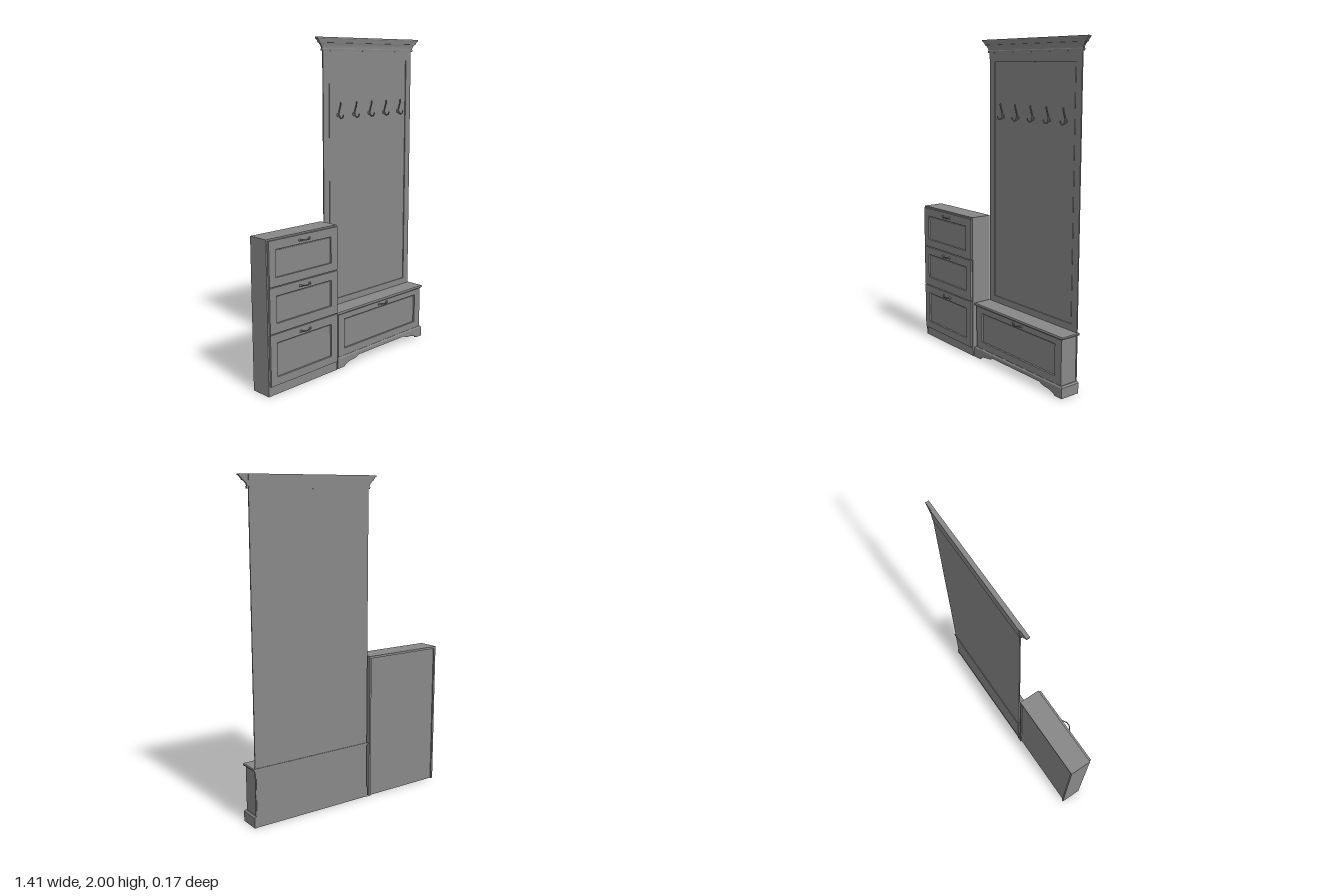
import * as THREE from 'three';

const mat = new THREE.MeshStandardMaterial({ color: 0x888888, side: THREE.DoubleSide });

function add(parent, name, geo) {
  const mesh = new THREE.Mesh(geo, mat);
  mesh.name = name;
  parent.add(mesh);
  return mesh;
}

// Box given by its limits on each axis
function box(parent, name, x0, x1, y0, y1, z0, z1) {
  const m = add(parent, name, new THREE.BoxGeometry(x1 - x0, y1 - y0, z1 - z0));
  m.position.set((x0 + x1) / 2, (y0 + y1) / 2, (z0 + z1) / 2);
}

// Flat outline pushed forward from z0 to z1
function slab(parent, name, shape, z0, z1) {
  const geo = new THREE.ExtrudeGeometry(shape, { depth: z1 - z0, bevelEnabled: false });
  add(parent, name, geo.translate(0, 0, z0));
}

function rectPoints(x0, x1, y0, y1) {
  return [[x0, y0], [x1, y0], [x1, y1], [x0, y1]].map(p => new THREE.Vector2(...p));
}

// Frame around a sunken panel with a narrow groove; outer and inner = [x0, x1, y0, y1]
function framedPanel(parent, name, outer, inner, zBack, zFront, sink) {
  const g = new THREE.Group();
  g.name = name;
  parent.add(g);
  const s = new THREE.Shape(rectPoints(...outer));
  s.holes.push(new THREE.Path(rectPoints(...inner).reverse()));
  slab(g, 'frame', s, zBack, zFront);
  box(g, 'groove', ...inner, zBack, zFront - sink);
  const [x0, x1, y0, y1] = inner;
  const lip = 0.006;
  box(g, 'sunkenPanel', x0 + lip, x1 - lip, y0 + lip, y1 - lip, zBack, zFront - sink * 0.6);
}

// Mitred moulding: rectangular rings [y, sideways, forward] joined upwards, flat back
function moulding(parent, name, x0, x1, zBack, zFront, levels) {
  const pos = [];
  const quad = (a, b, c, d) => pos.push(...a, ...b, ...c, ...a, ...c, ...d);
  const rings = levels.map(([y, sx, sz]) => [
    [x0 - sx, y, zFront + sz], [x1 + sx, y, zFront + sz], [x1 + sx, y, zBack], [x0 - sx, y, zBack],
  ]);
  for (let i = 0; i + 1 < rings.length; i++) {
    for (let k = 0; k < 4; k++) {
      const n = (k + 1) % 4;
      quad(rings[i][k], rings[i][n], rings[i + 1][n], rings[i + 1][k]);
    }
  }
  quad(...rings[0].slice().reverse());
  quad(...rings[rings.length - 1]);
  const geo = new THREE.BufferGeometry();
  geo.setAttribute('position', new THREE.Float32BufferAttribute(pos, 3));
  geo.computeVertexNormals();
  add(parent, name, geo);
}

function tube(parent, name, points, radius) {
  const curve = new THREE.CatmullRomCurve3(points.map(p => new THREE.Vector3(...p)));
  add(parent, name, new THREE.TubeGeometry(curve, 24, radius, 8));
}

// Bow handle with a flat foot at each end
function handle(parent, x, y, z) {
  const g = new THREE.Group();
  g.name = 'handle';
  g.position.set(x, y, z);
  parent.add(g);
  tube(g, 'bow', [[-0.04, 0, 0.004], [-0.028, 0, 0.012], [-0.014, 0, 0.021], [0, 0, 0.023],
    [0.014, 0, 0.021], [0.028, 0, 0.012], [0.04, 0, 0.004]], 0.0034);
  for (const s of [-1, 1]) {
    const foot = add(g, 'foot', new THREE.SphereGeometry(0.009, 12, 8));
    foot.scale.set(1, 0.9, 0.6);
    foot.position.set(s * 0.036, 0, 0.003);
  }
}

function coatHook(parent, x) {
  const g = new THREE.Group();
  g.name = 'coatHook';
  g.position.set(x, 0, 0);
  parent.add(g);
  tube(g, 'hookStem', [[0, 1.62, -0.058], [0, 1.6, -0.06], [0, 1.575, -0.069], [0, 1.55, -0.074],
    [0, 1.531, -0.067], [0, 1.526, -0.053], [0, 1.533, -0.041], [0, 1.547, -0.036]], 0.004);
  const plate = add(g, 'hookPlate', new THREE.CylinderGeometry(0.013, 0.013, 0.005, 16));
  plate.rotation.x = Math.PI / 2;
  plate.position.set(0, 1.545, -0.079);
}

function shoeCabinet() {
  const g = new THREE.Group();
  g.name = 'shoeCabinet';
  const [x0, x1, zb, zf] = [-0.705, -0.165, -0.088, 0.047];
  box(g, 'cabinetSide', x0, x0 + 0.012, 0, 0.9, zb, zf);
  box(g, 'cabinetSide', x1 - 0.012, x1, 0, 0.9, zb, zf);
  box(g, 'cabinetTop', x0, x1, 0.898, 0.912, zb, zf);
  box(g, 'cabinetBody', x0 + 0.012, x1 - 0.012, 0, 0.898, zb + 0.009, zf - 0.003);
  box(g, 'cabinetKickboard', x0 + 0.012, x1 - 0.012, 0, 0.055, zf - 0.01, zf - 0.001);
  // Three tilting fronts: bottom, top, recess bottom, recess top, handle height
  const fronts = [
    [0.06, 0.364, 0.108, 0.312, 0.335],
    [0.369, 0.635, 0.425, 0.585, 0.607],
    [0.64, 0.903, 0.69, 0.85, 0.873],
  ];
  for (const [y0, y1, r0, r1, h] of fronts) {
    framedPanel(g, 'cabinetFront', [x0 + 0.009, x1 - 0.006, y0, y1], [-0.648, -0.222, r0, r1], zf - 0.002, 0.06, 0.012);
    handle(g, -0.435, h, 0.06);
  }
  return g;
}

function bench() {
  const g = new THREE.Group();
  g.name = 'bench';
  const [x0, x1, zb] = [-0.141, 0.645, -0.087];
  box(g, 'benchBody', x0, x1, 0.045, 0.345, zb, 0.021);
  framedPanel(g, 'benchFront', [x0, x1, 0.065, 0.345], [-0.086, 0.59, 0.115, 0.306], 0.02, 0.036, 0.012);
  handle(g, 0.264, 0.326, 0.036);
  // Seat board with an eased edge
  moulding(g, 'seat', x0, x1, -0.088, 0.036, [[0.342, 0.004, 0.001], [0.347, 0.014, 0.006],
    [0.355, 0.016, 0.007], [0.36, 0.012, 0.005]]);
  // Plinth with a shaped cut-out along the front
  const [p0, p1, mid] = [-0.154, 0.66, 0.253];
  const s = new THREE.Shape();
  s.moveTo(p0, 0);
  s.lineTo(mid - 0.35, 0);
  s.quadraticCurveTo(mid - 0.33, 0.022, mid - 0.28, 0.026);
  s.quadraticCurveTo(mid - 0.24, 0.028, mid - 0.22, 0.042);
  s.lineTo(mid + 0.22, 0.042);
  s.quadraticCurveTo(mid + 0.24, 0.028, mid + 0.28, 0.026);
  s.quadraticCurveTo(mid + 0.33, 0.022, mid + 0.35, 0);
  s.lineTo(p1, 0);
  s.lineTo(p1, 0.058);
  s.lineTo(p0, 0.058);
  slab(g, 'plinthFront', s, 0.03, 0.044);
  box(g, 'plinthSide', p0, p0 + 0.014, 0, 0.058, zb, 0.03);
  box(g, 'plinthSide', p1 - 0.014, p1, 0, 0.058, zb, 0.03);
  moulding(g, 'plinthCap', p0, p1, zb, 0.044, [[0.05, 0, 0], [0.062, 0, 0], [0.071, -0.009, -0.006]]);
  return g;
}

function coatPanel() {
  const g = new THREE.Group();
  g.name = 'coatPanel';
  const [x0, x1] = [-0.147, 0.649];
  framedPanel(g, 'backPanel', [x0, x1, 0, 1.99], [-0.1, 0.602, 0.4, 1.866], -0.084, -0.077, 0.006);
  for (let i = 0; i < 5; i++) coatHook(g, -0.02 + i * 0.137);
  // Crown cornice: height, sideways and forward reach
  moulding(g, 'crown', x0, x1, -0.084, -0.077, [
    [1.922, 0.003, 0.001], [1.922, 0.011, 0.003], [1.932, 0.013, 0.004], [1.936, 0.008, 0.003],
    [1.95, 0.013, 0.004], [1.96, 0.022, 0.006], [1.967, 0.03, 0.008], [1.968, 0.035, 0.009],
    [1.98, 0.042, 0.011], [1.99, 0.052, 0.013], [1.992, 0.057, 0.014], [2, 0.057, 0.014],
  ]);
  box(g, 'crownBacking', x0, x1, 1.922, 2, -0.088, -0.082);
  return g;
}

export function createModel() {
  const model = new THREE.Group();
  model.name = 'hallwayFurniture';
  model.add(shoeCabinet(), bench(), coatPanel());
  return model;
}
